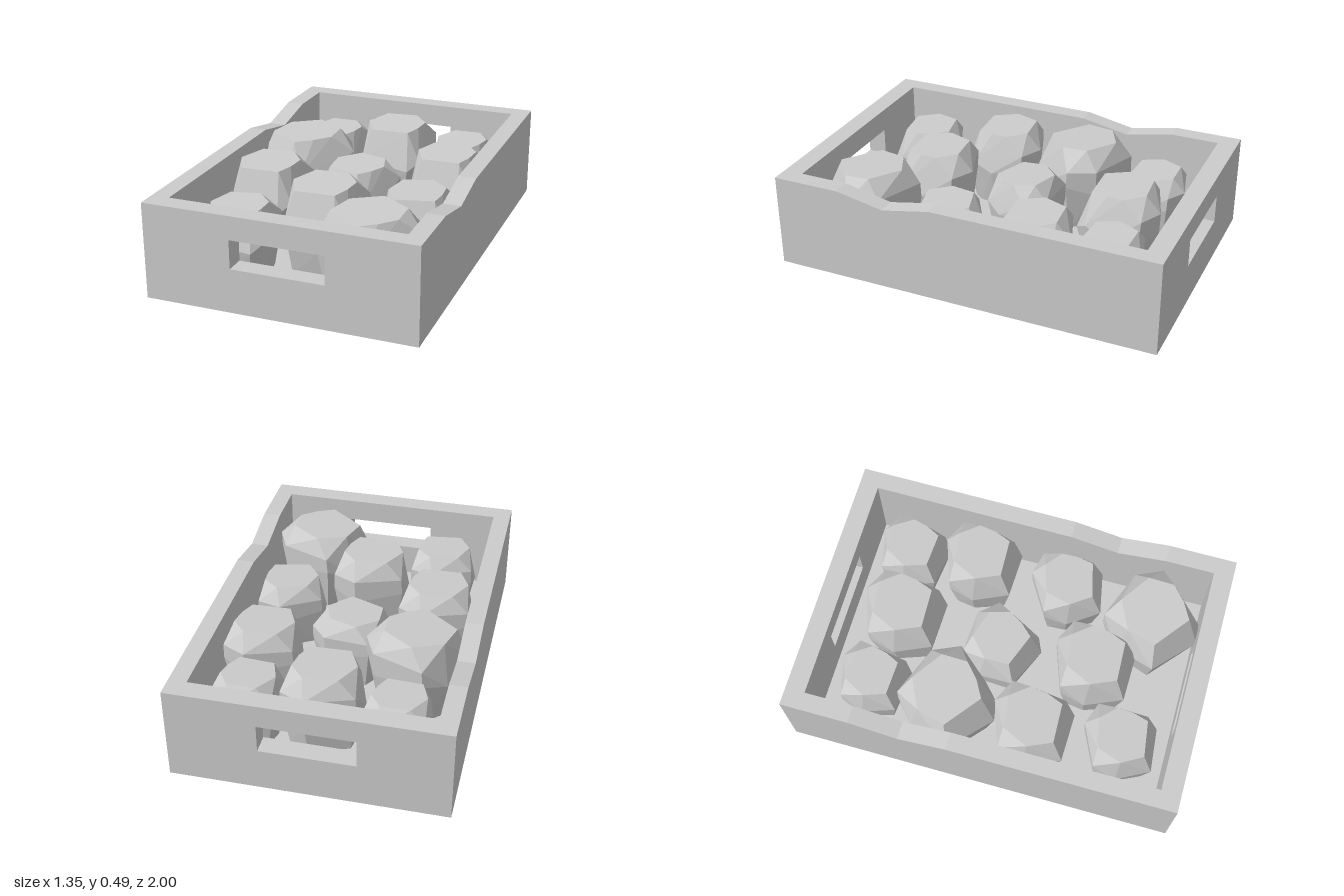
import * as THREE from 'three';
import { ConvexGeometry } from 'three/addons/geometries/ConvexGeometry.js';

const W = 1.35, L = 2, H = 0.484, WALL_X = 0.09, WALL_Z = 0.1, FLOOR = 0.05;

const material = new THREE.MeshStandardMaterial({ color: 0xcccccc, flatShading: true });

function addMesh(parent, name, geometry) {
  const mesh = new THREE.Mesh(geometry, material);
  mesh.name = name;
  parent.add(mesh);
  return mesh;
}

const toPath = (points, Type) => new Type(points.map(([x, y]) => new THREE.Vector2(x, y)));

// Faceted stone of unit radius: flat top, wide shoulders, narrower base
function stoneGeometry() {
  const top = [[-0.46, -0.58], [0.38, -0.66], [0.76, -0.2], [0.7, 0.25], [0.54, 0.68], [-0.48, 0.72], [-0.77, 0.1]];
  const shoulder = [[0.3, -1.02], [0.92, -0.72], [-0.88, -0.62]];
  const belly = [[0.3, -1], [0.93, -0.7], [1, 0.15], [0.9, 0.72], [0.64, 1.02], [-0.66, 1], [-1, 0.05], [-0.9, -0.6]];
  const points = [
    ...top.map(([x, z]) => new THREE.Vector3(x, 1 - 0.03 * z, z)),
    ...shoulder.map(([x, z]) => new THREE.Vector3(x, 0.8, z)),
    ...belly.map(([x, z], i) => new THREE.Vector3(x, i % 2 ? 0.6 : 0.5, z)),
    ...belly.map(([x, z]) => new THREE.Vector3(x * 0.8, 0, z * 0.8)),
  ];
  return new ConvexGeometry(points);
}

export function createModel() {
  const model = new THREE.Group();
  model.name = 'crateOfStones';

  // Crate floor
  const crate = new THREE.Group();
  crate.name = 'crate';
  model.add(crate);
  addMesh(crate, 'floor', new THREE.BoxGeometry(W - 2 * WALL_X, FLOOR, L - 2 * WALL_Z))
    .position.y = FLOOR / 2;

  // End walls with a rectangular hand hole
  const end = toPath([[-W / 2, 0], [W / 2, 0], [W / 2, H], [-W / 2, H]], THREE.Shape);
  end.holes.push(toPath([[-0.233, 0.222], [-0.233, 0.366], [0.233, 0.366], [0.233, 0.222]], THREE.Path));
  const endGeometry = new THREE.ExtrudeGeometry(end, { depth: WALL_Z, bevelEnabled: false });
  endGeometry.translate(0, 0, L / 2 - WALL_Z);
  addMesh(crate, 'frontWall', endGeometry);
  addMesh(crate, 'backWall', endGeometry).rotation.y = Math.PI;

  // Side walls with a shallow dip in the rim, turned half round for the other side
  const half = L / 2 - WALL_Z;
  const side = toPath([[-half, 0], [half, 0], [half, H], [-0.15, H], [-0.4, 0.435], [-0.65, H], [-half, H]], THREE.Shape);
  const sideGeometry = new THREE.ExtrudeGeometry(side, { depth: WALL_X, bevelEnabled: false });
  sideGeometry.rotateY(Math.PI / 2);
  sideGeometry.translate(W / 2 - WALL_X, 0, 0);
  addMesh(crate, 'leftWall', sideGeometry);
  addMesh(crate, 'rightWall', sideGeometry).rotation.y = Math.PI;

  // Stones: x, z, radius, top height, turn
  const stones = new THREE.Group();
  stones.name = 'stones';
  model.add(stones);
  const geometry = stoneGeometry();
  [
    [-0.36, -0.65, 0.17, 0.38, -0.08],
    [0.01, -0.6, 0.2, 0.46, 0],
    [0.37, -0.66, 0.172, 0.39, -0.1],
    [-0.37, -0.25, 0.222, 0.48, -0.7],
    [0.395, -0.29, 0.193, 0.44, 0],
    [-0.01, -0.07, 0.182, 0.4, -0.4],
    [-0.395, 0.2, 0.197, 0.46, 0],
    [0.39, 0.185, 0.183, 0.4, 0.2],
    [-0.005, 0.42, 0.2, 0.472, 0],
    [-0.35, 0.65, 0.18, 0.4, 0.1],
    [0.32, 0.645, 0.222, 0.46, -0.7],
  ].forEach(([x, z, r, top, turn], i) => {
    const stone = addMesh(stones, `stone${i + 1}`, geometry);
    stone.position.set(x, FLOOR - 0.01, z);
    stone.scale.set(r, top - FLOOR + 0.01, r);
    stone.rotation.y = turn;
  });

  return model;
}
